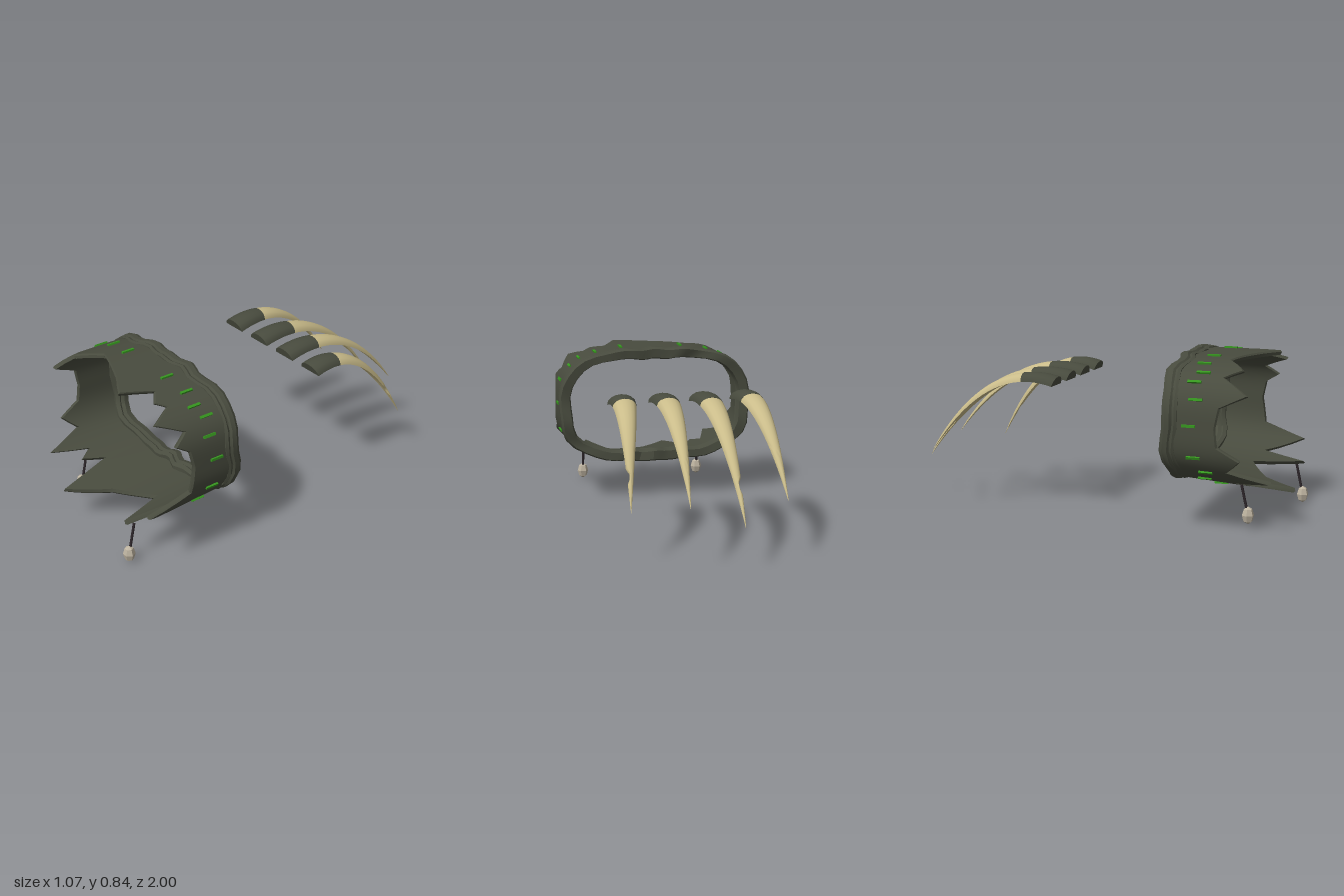
import * as THREE from 'three';
import { toCreasedNormals } from 'three/addons/utils/BufferGeometryUtils.js';

const CY = 0.525, A = 0.52, B = 0.305, BACK = 0.43;
const rad = THREE.MathUtils.degToRad;

const material = (name, color) => Object.assign(new THREE.MeshStandardMaterial({ color }), { name });

function add(parent, name, geometry, mat) {
  const mesh = new THREE.Mesh(geometry, mat);
  mesh.name = name;
  parent.add(mesh);
  return mesh;
}

// Skin a list of closed cross-sections; loop joins last to first, otherwise the ends are closed
function loft(rings, loop, crease) {
  const n = rings[0].length, m = rings.length, pts = rings.flat(), idx = [];
  for (let i = 0; i < (loop ? m : m - 1); i++) {
    for (let j = 0; j < n; j++) {
      const a = i * n + j, b = i * n + (j + 1) % n;
      const c = ((i + 1) % m) * n + j, d = ((i + 1) % m) * n + (j + 1) % n;
      idx.push(a, b, d, a, d, c);
    }
  }
  if (!loop) {
    for (let j = 1; j < n - 1; j++) {
      const e = (m - 1) * n;
      idx.push(0, j + 1, j, e, e + j, e + j + 1);
    }
  }
  // Signed volume decides which way the faces must turn
  let volume = 0;
  const cross = new THREE.Vector3();
  for (let i = 0; i < idx.length; i += 3) {
    volume += pts[idx[i]].dot(cross.crossVectors(pts[idx[i + 1]], pts[idx[i + 2]]));
  }
  if (volume < 0) idx.reverse();
  const g = new THREE.BufferGeometry().setFromPoints(pts);
  g.setIndex(idx);
  return toCreasedNormals(g, rad(crease));
}

// Rounded-rectangle radius of the cuff; its lower half flares towards the front
function cuffRadius(t, z) {
  const r = (Math.abs(Math.cos(t) / A) ** 3 + Math.abs(Math.sin(t) / B) ** 3) ** (-1 / 3);
  return r + 0.12 * (z - BACK) * Math.max(0, -Math.sin(t));
}
const polar = (t, r, z) => new THREE.Vector3(r * Math.cos(t), CY + r * Math.sin(t), z);

// Ragged front edge: angle in degrees, z
const EDGE = [
  [0, 0.68], [10, 0.70], [15, 0.77], [21, 0.70], [29, 0.83], [37, 0.71], [42, 0.75], [51, 0.70],
  [62, 0.85], [84, 0.78], [128, 0.685], [144, 0.78], [151, 0.70], [162, 0.83], [169, 0.70],
  [180, 0.68], [190, 0.69], [197, 0.80], [205, 0.73], [214, 0.93], [220, 0.74], [226, 0.81],
  [232, 0.71], [245, 1.0], [270, 0.82], [307, 0.70], [316, 0.95], [324, 0.73], [336, 0.92],
  [345, 0.70], [360, 0.68],
];

function cuffGeometry() {
  const rings = [];
  for (let i = 0; i < EDGE.length - 1; i++) {
    const [a0, z0] = EDGE[i], [a1, z1] = EDGE[i + 1];
    const steps = Math.max(2, Math.ceil((a1 - a0) / 4));
    for (let k = 0; k < steps; k++) {
      const t = rad(a0 + (a1 - a0) * k / steps), z = z0 + (z1 - z0) * k / steps;
      const rb = cuffRadius(t, BACK), rf = cuffRadius(t, z);
      rings.push([
        polar(t, rb, BACK), polar(t, rf, z - 0.008), polar(t, rf - 0.008, z),
        polar(t, rf - 0.025, z - 0.005), polar(t, rb - 0.028, BACK),
      ]);
    }
  }
  return loft(rings, true, 28);
}

// Thick uneven double roll round the back opening: radial offset, z
const RIM = [
  [0.002, 0.412], [0.012, 0.428], [0.012, 0.452], [0.002, 0.462], [0.009, 0.474], [0.003, 0.488],
  [-0.04, 0.49], [-0.053, 0.472], [-0.046, 0.462], [-0.055, 0.445], [-0.045, 0.415],
];

function rimGeometry() {
  const rings = [], count = 54;
  for (let i = 0; i < count; i++) {
    const t = i / count * Math.PI * 2;
    const wave = 0.009 * Math.sin(9 * t) + 0.005 * Math.sin(14 * t + 1);
    const bump = 0.004 * Math.sin(13 * t);
    rings.push(RIM.map(([dr, z]) => polar(t, cuffRadius(t, BACK) + dr + bump, z + wave)));
  }
  return loft(rings, true, 25);
}

// Curved talon section between t0 and t1, arched above and hollow below
function talonGeometry(c, t0, t1, swell) {
  const path = new THREE.QuadraticBezierCurve3(
    new THREE.Vector3(0, 0.665, -0.2),
    new THREE.Vector3(0, 0.77, -0.2 + 0.52 * (c.tip[2] + 0.2)),
    new THREE.Vector3(0, c.tip[1], c.tip[2]),
  );
  const rings = [], steps = 30;
  for (let i = 0; i <= steps; i++) {
    const t = t0 + (t1 - t0) * i / steps;
    const p = path.getPoint(t), d = path.getTangent(t);
    const up = new THREE.Vector3(0, -d.z, d.y);
    const k = 1 - t ** 1.5;
    const w = 0.066 * swell * k + 0.001, h = 0.044 * swell * k ** 0.8 + 0.001;
    const x = c.x + (c.tip[0] - c.x) * t ** 1.5;
    // A chip is bitten from one side near the tip
    const chipped = c.chip && Math.abs(t - 0.83) < 0.022;
    const at = (u, v) => {
      const side = chipped && u * c.chip > 0 ? 0.25 : 1;
      return p.clone().addScaledVector(up, v * h).setX(x + u * w * side);
    };
    const ring = [];
    for (let j = 0; j <= 8; j++) ring.push(at(Math.cos(j * Math.PI / 8), Math.sin(j * Math.PI / 8)));
    ring.push(at(-0.5, 0.14), at(0, 0.2), at(0.5, 0.14));
    rings.push(ring);
  }
  return loft(rings, false, 40);
}

const TALONS = [
  { x: -0.32, tip: [-0.365, 0.30, -0.87] },
  { x: -0.107, tip: [-0.122, 0.22, -1.0], chip: -1 },
  { x: 0.103, tip: [0.125, 0.31, -0.94] },
  { x: 0.312, tip: [0.373, 0.26, -0.78], chip: 1 },
];

// Stitches on one half: angle in degrees, z
const STITCHES = [
  [61, 0.58], [42, 0.57], [32, 0.59], [25, 0.56], [15, 0.58], [1, 0.55],
  [-16, 0.57], [-26, 0.62], [-34, 0.60], [-45, 0.66],
];

// Hanging beads: cord top, bead centre
const CHARMS = [
  [[-0.32, 0.225, 0.765], [-0.32, 0.072, 0.80]],
  [[0.33, 0.205, 0.905], [0.33, 0.045, 0.94]],
];

export function createModel() {
  const leather = material('dark leather', 0x484b3e);
  const bone = material('bone', 0xcabc8a);
  const thread = material('green thread', 0x36961f);
  const cordMat = material('dark cord', 0x2d262a);
  const stone = material('pale stone', 0xbdb3a0);
  const model = new THREE.Group();
  model.name = 'clawedCuff';

  // Cuff
  const cuff = new THREE.Group();
  cuff.name = 'cuff';
  model.add(cuff);
  add(cuff, 'raggedBand', cuffGeometry(), leather);
  add(cuff, 'backRim', rimGeometry(), leather);

  // Stitches lie along the band, mirrored left and right
  const stitchShape = new THREE.BoxGeometry(0.014, 0.013, 0.068);
  for (const side of [1, -1]) {
    for (const [deg, z] of STITCHES) {
      const t = rad(side > 0 ? deg : 180 - deg);
      const p = polar(t, cuffRadius(t, z) + 0.002, z);
      const stitch = add(cuff, 'stitch', stitchShape, thread);
      stitch.position.copy(p);
      const y = p.y - CY;
      stitch.rotation.z = Math.atan2(y * Math.abs(y) / B ** 3, p.x * Math.abs(p.x) / A ** 3);
    }
  }

  // Bead charms
  const beadShape = new THREE.SphereGeometry(1, 6, 4).toNonIndexed();
  beadShape.computeVertexNormals();
  for (const [top, centre] of CHARMS) {
    const a = new THREE.Vector3(...top), b = new THREE.Vector3(...centre);
    const charm = new THREE.Group();
    charm.name = 'beadCharm';
    model.add(charm);
    const cord = add(charm, 'cord', new THREE.CylinderGeometry(0.007, 0.007, a.distanceTo(b), 6), cordMat);
    cord.position.lerpVectors(a, b, 0.5);
    cord.quaternion.setFromUnitVectors(new THREE.Vector3(0, 1, 0), a.clone().sub(b).normalize());
    const bead = add(charm, 'bead', beadShape, stone);
    bead.position.copy(b);
    bead.scale.set(0.031, 0.044, 0.031);
  }

  // Talons with leather bases
  for (const c of TALONS) {
    const talon = new THREE.Group();
    talon.name = 'talon';
    model.add(talon);
    add(talon, 'talonBase', talonGeometry({ ...c, chip: 0 }, 0, 0.24, 1.02), leather);
    add(talon, 'talonBlade', talonGeometry(c, 0.235, 1, 1), bone);
  }
  return model;
}
